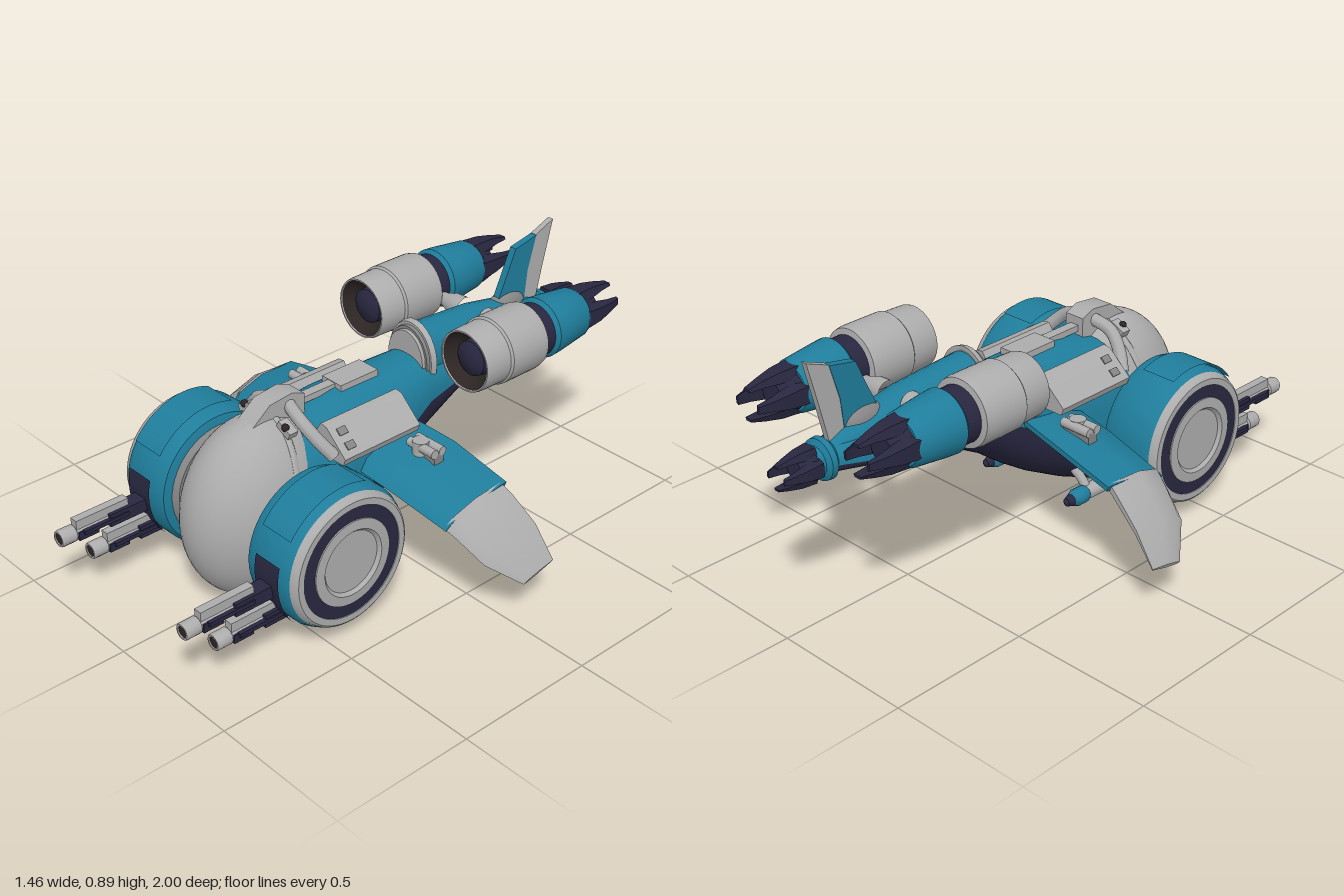
import * as THREE from 'three';
import { toCreasedNormals } from 'three/addons/utils/BufferGeometryUtils.js';

const V = (x, y, z) => new THREE.Vector3(x, y, z);
const paint = (name, color) => Object.assign(new THREE.MeshStandardMaterial({ color }), { name });

// Loft through rings of points that run counter-clockwise about the travel direction.
function loft(rings, closed = true) {
  const n = rings[0].length, idx = [], last = (rings.length - 1) * n;
  for (let i = 0; i < rings.length - 1; i++) {
    for (let j = 0; j < (closed ? n : n - 1); j++) {
      const a = i * n + j, b = i * n + (j + 1) % n;
      idx.push(a, b, b + n, a, b + n, a + n);
    }
  }
  if (closed) for (let j = 1; j < n - 1; j++) idx.push(0, j + 1, j, last, last + j, last + j + 1);
  return new THREE.BufferGeometry().setFromPoints(rings.flat()).setIndex(idx);
}

// Turned parts: points are [radius, distance along axis].
const turn = (pts, seg = 40) => new THREE.LatheGeometry(pts.map(([r, d]) => new THREE.Vector2(r, d)), seg);
const turnZ = (pts, seg) => turn(pts, seg).rotateX(Math.PI / 2);
const turnX = (pts, seg) => turn(pts, seg).rotateZ(-Math.PI / 2);
const box = (w, h, d, x, y, z) => new THREE.BoxGeometry(w, h, d).translate(x, y, z);
const tube = (pts, r) => new THREE.TubeGeometry(new THREE.CatmullRomCurve3(pts), 12, r, 8);

// Side profile [z, y] given a thickness along x.
function plate(pts, depth) {
  const s = new THREE.Shape(pts.map(([z, y]) => new THREE.Vector2(z, y)));
  return new THREE.ExtrudeGeometry(s, { depth, bevelEnabled: false }).rotateY(-Math.PI / 2).translate(depth / 2, 0, 0);
}

// Mirror across x and restore the corner order.
function mirrored(geo) {
  const g = geo.clone().scale(-1, 1, 1);
  for (const a of Object.values(g.attributes)) {
    const s = a.itemSize, d = a.array;
    for (let i = 0; i < a.count; i += 3) for (let k = 0; k < s; k++) {
      const p = i * s + k, q = (i + 2) * s + k, t = d[p];
      d[p] = d[q]; d[q] = t;
    }
  }
  return g;
}

export function createModel() {
  const model = new THREE.Group();
  model.name = 'spacecraft';
  const teal = paint('teal', 0x1f7d9b), navy = paint('navy', 0x282740);
  const grey = paint('lightGrey', 0xacacac), mid = paint('steelGrey', 0x858585), dark = paint('darkBrown', 0x2c2524);
  for (const m of [teal, navy]) m.side = THREE.DoubleSide;

  const add = (name, geo, mat, crease = 0.6) => {
    const g = toCreasedNormals(geo.index ? geo.toNonIndexed() : geo, crease);
    const mesh = new THREE.Mesh(g, mat);
    mesh.name = name;
    model.add(mesh);
    return g;
  };
  const pair = (name, geo, mat, crease) => {
    const g = add(name + 'Left', geo, mat, crease);
    const mesh = new THREE.Mesh(mirrored(g), mat);
    mesh.name = name + 'Right';
    model.add(mesh);
  };

  // Hull: [z, half width, bottom, colour line, top, backward lean]
  const hull = [
    [-0.85, 0.05, 0.525, 0.56, 0.605, 0], [-0.8, 0.065, 0.52, 0.555, 0.61, 0], [-0.7, 0.107, 0.513, 0.55, 0.625, 0],
    [-0.58, 0.127, 0.497, 0.54, 0.63, 0], [-0.4, 0.1, 0.455, 0.515, 0.62, 0], [-0.2, 0.118, 0.34, 0.48, 0.62, 0],
    [-0.1, 0.14, 0.265, 0.44, 0.62, 0], [0, 0.16, 0.2, 0.38, 0.62, 0], [0.15, 0.175, 0.12, 0.31, 0.622, 0],
    [0.28, 0.188, 0.05, 0.29, 0.607, 0.1], [0.37, 0.192, 0.018, 0.295, 0.59, 0.15], [0.45, 0.19, 0.004, 0.3, 0.57, 0.2],
  ];
  const arc = (from, to, f) => Array.from({ length: 25 }, (_, i) => f(from + (to - from) * i / 24));
  const sq = (v) => Math.sign(v) * Math.abs(v) ** 0.85;
  const half = (from, yi) => hull.map((h) => arc(from, from + Math.PI, (a) => {
    const y = h[3] + Math.abs(h[yi] - h[3]) * sq(Math.sin(a));
    return V(h[1] * sq(Math.cos(a)), y, h[0] - (y - 0.32) * h[5]);
  }));
  add('upperHull', loft(half(0, 4), false), teal, 1);
  add('belly', loft(half(Math.PI, 2), false), navy, 1);

  // Raised spine between the engines, with a ribbed arch at its front
  const oval = (z, rx, ry, y) => arc(0, Math.PI * 2 * 24 / 25, (a) => V(rx * Math.cos(a), y + ry * Math.sin(a), z));
  add('spine', loft([oval(-0.83, 0.03, 0.025, 0.58), oval(-0.72, 0.06, 0.05, 0.6),
    oval(-0.5, 0.085, 0.09, 0.6), oval(-0.22, 0.09, 0.11, 0.6)]), teal, 0.9);
  [0.82, 0.91, 1].forEach((s, i) => add('spineArch', loft([
    oval(-0.235, 0.105 * s, 0.13 * s, 0.598), oval(-0.19 - 0.012 * i, 0.1 * s, 0.125 * s, 0.598)]), i === 1 ? mid : grey));

  // Canopy egg: blunt front, back part cut away inside the hull
  const egg = new THREE.SphereGeometry(1, 48, 32);
  const ep = egg.attributes.position;
  for (let i = 0; i < ep.count; i++) {
    const low = ep.getY(i) < 0 && ep.getZ(i) < 0;
    ep.setZ(i, ep.getZ(i) * (low ? 0.08 : 1));
  }
  add('canopy', egg.scale(0.198, 0.313, 0.262).rotateX(-0.2).translate(0, 0.32, 0.462), grey, 1);
  add('canopyRim', new THREE.TorusGeometry(0.309, 0.008, 10, 64).scale(0.636, 1.005, 1.6).rotateX(-0.2).translate(0, 0.32, 0.458), grey, 1);
  add('canopyLatch', plate([[0.28, 0.59], [0.28, 0.665], [0.33, 0.685], [0.42, 0.675], [0.49, 0.62], [0.49, 0.575]], 0.075), grey);
  pair('canopyBracket', tube([V(0.03, 0.645, 0.34), V(0.1, 0.62, 0.35), V(0.16, 0.565, 0.33), V(0.2, 0.515, 0.3)], 0.022), grey, 1);
  pair('bracketJoint', new THREE.BoxGeometry(0.06, 0.025, 0.035).rotateZ(-0.45).translate(0.095, 0.61, 0.4), grey);
  pair('bracketPin', new THREE.SphereGeometry(0.013, 12, 8).translate(0.1, 0.62, 0.412), dark, 1);
  add('backPlate', box(0.09, 0.025, 0.16, 0, 0.625, 0.055), grey);
  add('backStrip', box(0.035, 0.022, 0.16, 0, 0.624, 0.21), grey);

  // Shoulder armour
  const shoulder = new THREE.Shape([[0.1, 0.56], [0.13, 0.49], [0.23, 0.49], [0.24, 0.515], [0.152, 0.594], [0.125, 0.598]]
    .map(([x, y]) => new THREE.Vector2(x, y)));
  pair('shoulder', new THREE.ExtrudeGeometry(shoulder, { depth: 0.32, bevelEnabled: false }).translate(0, 0, -0.03), grey);
  for (const [x, y] of [[0.175, 0.575], [0.213, 0.541]]) {
    pair('shoulderVent', new THREE.BoxGeometry(0.026, 0.006, 0.035).rotateZ(-0.73).translate(x, y, 0.245), mid);
  }

  // Side drums with layered hub
  const drum = (g) => g.translate(0, 0.298, 0.432);
  pair('drum', drum(turnX([[0, 0.2], [0.2, 0.205], [0.232, 0.215], [0.243, 0.24], [0.245, 0.31],
    [0.243, 0.38], [0.235, 0.402], [0.224, 0.412]], 56)), teal);
  pair('drumRim', drum(turnX([[0.231, 0.405], [0.224, 0.425], [0.216, 0.431], [0.194, 0.431], [0.192, 0.415]], 56)), grey);
  pair('drumBand', drum(turnX([[0.196, 0.42], [0.194, 0.428], [0.15, 0.43], [0.15, 0.42]], 56)), navy);
  pair('hub', drum(turnX([[0.152, 0.42], [0.15, 0.434], [0.116, 0.436], [0.106, 0.425], [0, 0.425]], 56)), grey);
  pair('innerRim', drum(turnX([[0, 0.188], [0.19, 0.188], [0.205, 0.207]], 48)), mid);
  pair('axle', drum(turnX([[0.13, 0.12], [0.13, 0.2]])), dark);
  const patch = (r, w, from, to) => drum(new THREE.CylinderGeometry(r, r, w, 16, 1, true, from, to - from)
    .rotateZ(-Math.PI / 2).translate(0.322, 0, 0));
  pair('gunPanel', patch(0.251, 0.11, -0.26, 0.68), navy);
  pair('drumCover', patch(0.252, 0.13, -1.95, -0.62), teal);

  // Twin guns on each drum
  for (const [y, tip] of [[0.262, 1], [0.165, 0.89]]) {
    const g = (geo) => geo.translate(0.318, y, tip);
    pair('gunMount', box(0.056, 0.045, tip - 0.8, 0.318, y, (tip - 0.18 + 0.62) / 2), navy);
    pair('gunCover', g(box(0.03, 0.032, 0.2, 0, 0.031, -0.16)), grey);
    pair('gunRail', g(box(0.066, 0.014, 0.17, 0, 0.002, -0.165)), navy);
    pair('gunBarrel', g(turnZ([[0, -0.25], [0.021, -0.25], [0.021, -0.05], [0, -0.05]], 12)), grey);
    pair('gunSleeve', g(box(0.05, 0.03, 0.075, 0, -0.008, -0.1)), navy);
    pair('muzzle', g(turnZ([[0.02, -0.06], [0.029, -0.055], [0.029, -0.005], [0.026, 0], [0.02, 0], [0.018, -0.02]], 12)), grey);
    pair('bore', g(turnZ([[0.022, -0.02], [0.021, -0.004], [0, -0.004]], 12)), dark);
  }

  // Drooping wings: [x, leading z, trailing z, y, half thickness]
  const wing = (rows) => loft(rows.map(([x, zl, zt, y, t]) => [[0.5, 1], [0.88, 0.75], [1, 0], [0.88, -0.75], [0.5, -1], [0, -0.25], [0, 0.25]]
    .map(([k, h]) => { const z = zt + (zl - zt) * k; return V(x + h * t * 0.4, y + h * t - z * 0.23, z); })));
  pair('innerWing', wing([[0.12, 0.17, -0.1, 0.435, 0.033], [0.3, 0.155, -0.125, 0.405, 0.034], [0.525, 0.13, -0.135, 0.35, 0.033]]), teal);
  pair('wingTip', wing([[0.515, 0.127, -0.118, 0.354, 0.039], [0.56, 0.112, -0.128, 0.323, 0.037], [0.65, 0.08, -0.143, 0.25, 0.027],
    [0.728, -0.018, -0.15, 0.15, 0.007]]), grey);
  pair('wingGunBase', box(0.11, 0.05, 0.04, 0.295, 0.44, -0.01), mid);
  for (const z of [-0.025, 0.01]) {
    pair('wingGunBarrel', turnX([[0, 0.235], [0.016, 0.235], [0.016, 0.35], [0, 0.35]], 12).translate(0, 0.468, z), grey);
  }
  pair('wingGunPivot', turn([[0.028, 0.42], [0.028, 0.485], [0, 0.485]], 16).translate(0.275, 0, 0), grey);

  // Small pods under the hull
  const pod = (pts) => turnZ(pts, 16).translate(0.19, 0.12, 0);
  pair('podStrut', tube([V(0.12, 0.2, 0.14), V(0.16, 0.16, 0.15), V(0.19, 0.125, 0.15)], 0.016), grey, 1);
  pair('podNose', pod([[0.022, 0.13], [0.026, 0.15], [0.028, 0.225]]), grey);
  pair('podBore', pod([[0.028, 0.222], [0.027, 0.234], [0, 0.234]]), dark);
  pair('podBody', pod([[0.022, 0.07], [0.03, 0.09], [0.03, 0.13], [0.02, 0.145]]), teal);
  pair('podTail', pod([[0, 0.035], [0.014, 0.045], [0.023, 0.075]]), navy);

  // Claw nozzle: a tapered core ringed by four curved prongs
  const claws = (put, x, y, z, s, len) => {
    put('nozzleCore', turnZ([[0, -len * 0.45], [0.045 * s, -len * 0.45], [0.072 * s, 0], [0, 0.01]], 20).translate(x, y, z), navy);
    for (let i = 0; i < 4; i++) {
      const p = loft([[-1, 0.046, 0.055, 0.016], [-0.7, 0.048, 0.068, 0.024], [-0.35, 0.046, 0.078, 0.036], [0.06, 0.046, 0.081, 0.044]]
        .map(([d, ri, ro, w]) => [[w, ri], [w * 0.7, ro], [-w * 0.7, ro], [-w, ri]].map(([a, r]) => V(a * s, r * s, d * len))));
      put('nozzleClaw', p.rotateZ(i * Math.PI / 2).translate(x, y, z), navy);
    }
  };

  // Engines
  const engine = (pts) => turnZ(pts, 44).translate(0.247, 0.678, 0);
  pair('engineCowl', engine([[0.09, -0.495], [0.113, -0.49], [0.117, -0.47], [0.117, -0.325], [0.11, -0.318], [0.108, -0.225],
    [0.105, -0.215], [0.1, -0.215], [0.098, -0.23]]), grey);
  pair('intake', engine([[0.1, -0.218], [0.09, -0.245], [0.05, -0.28]]), dark);
  pair('intakeSpinner', engine([[0.064, -0.29], [0.06, -0.245], [0.04, -0.23], [0, -0.225]]), navy);
  pair('engineCollar', engine([[0.092, -0.56], [0.094, -0.47]]), navy);
  pair('engineRear', engine([[0, -0.735], [0.078, -0.735], [0.088, -0.72], [0.102, -0.6], [0.105, -0.56], [0.09, -0.545]]), teal);
  claws(pair, 0.247, 0.678, -0.73, 1, 0.17);
  pair('pylon', turnX([[0.04, 0.05], [0.038, 0.1], [0.024, 0.14], [0.022, 0.17]], 20).translate(0, 0.65, -0.515), grey);

  // Tail end: stepped sleeve, claws and fin
  add('tailSleeve', turnZ([[0, -0.885], [0.045, -0.885], [0.05, -0.85], [0.068, -0.84], [0.07, -0.82], [0.05, -0.8]], 32)
    .translate(0, 0.563, 0), teal);
  claws(add, 0, 0.563, -0.875, 0.75, 0.125);
  add('finBase', new THREE.SphereGeometry(1, 24, 14).scale(0.042, 0.05, 0.085).translate(0, 0.635, -0.66), mid, 1);
  add('fin', plate([[-0.6, 0.64], [-0.65, 0.75], [-0.69, 0.84], [-0.79, 0.86], [-0.755, 0.74], [-0.74, 0.6]], 0.026), teal);
  add('finTrailing', plate([[-0.74, 0.6], [-0.755, 0.74], [-0.79, 0.862], [-0.873, 0.895], [-0.832, 0.735], [-0.8, 0.6]], 0.022), grey);
  return model;
}
